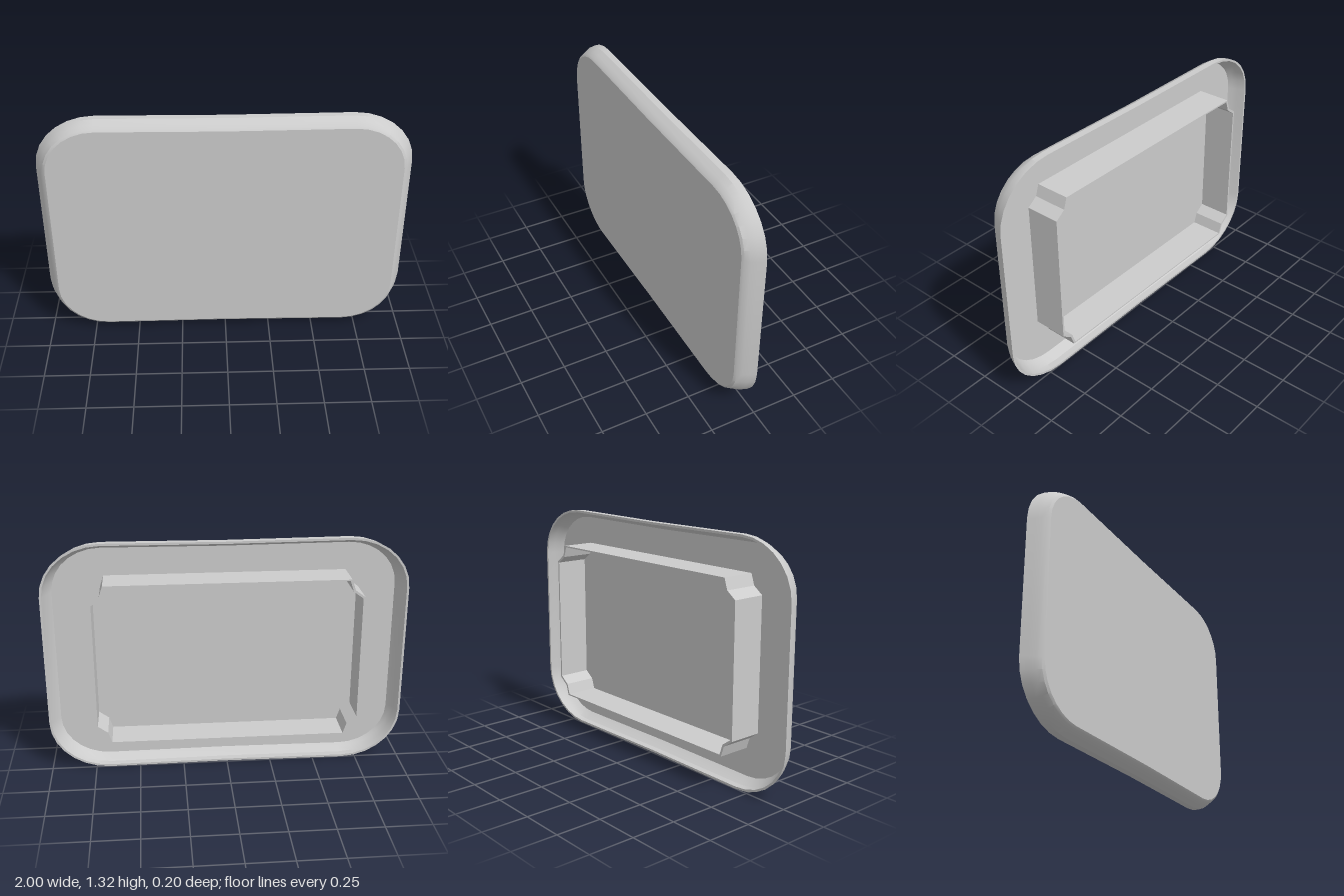
import * as THREE from 'three';
import { toCreasedNormals } from 'three/addons/utils/BufferGeometryUtils.js';

const CENTRE_Y = 0.66;
const CORNER_STEPS = 7;

// Rounded rectangle, counter-clockwise seen from the front; long sides dip slightly mid-way.
function roundedRing({ w, h, rx, ry, z, dip = 0.005 }) {
  const points = [];
  const corners = [[1, 1], [-1, 1], [-1, -1], [1, -1]];
  corners.forEach(([sx, sy], q) => {
    for (let i = 0; i <= CORNER_STEPS; i++) {
      const a = (q + i / CORNER_STEPS) * Math.PI / 2;
      points.push([sx * (w - rx) + rx * Math.cos(a), sy * (h - ry) + ry * Math.sin(a), z]);
    }
    if (q % 2 === 0) points.push([0, sy * (h - dip), z]);
  });
  return points;
}

// Skin through the rings, closed at both ends by a fan.
function skin(rings) {
  const n = rings[0].length;
  const first = rings[0], last = rings[rings.length - 1];
  const positions = rings.flat(2);
  const startCentre = rings.length * n, endCentre = startCentre + 1;
  positions.push(0, 0, first[0][2], 0, 0, last[0][2]);
  const index = [];
  for (let i = 0; i < n; i++) {
    const j = (i + 1) % n;
    index.push(startCentre, i, j);
    for (let r = 0; r < rings.length - 1; r++) {
      const a = r * n, b = a + n;
      index.push(a + i, b + i, b + j, a + i, b + j, a + j);
    }
    const e = (rings.length - 1) * n;
    index.push(endCentre, e + j, e + i);
  }
  const geometry = new THREE.BufferGeometry();
  geometry.setAttribute('position', new THREE.Float32BufferAttribute(positions, 3));
  geometry.setIndex(index);
  return toCreasedNormals(geometry, 0.5);
}

// Outline with stepped-in corners, shrunk by t.
function notchedOutline(t) {
  const corner = [[0.735, 0.36], [0.68, 0.4], [0.66, 0.46]].map(([x, y]) => [x - t, y - t * 0.8]);
  const points = [];
  [[1, 1], [-1, 1], [-1, -1], [1, -1]].forEach(([sx, sy]) => {
    const run = sx * sy > 0 ? corner : [...corner].reverse();
    run.forEach(([x, y]) => points.push(new THREE.Vector2(sx * x, sy * y)));
  });
  return points;
}

export function createModel() {
  const group = new THREE.Group();
  group.name = 'trayLid';
  const material = new THREE.MeshStandardMaterial({ color: 0xcccccc, side: THREE.DoubleSide });

  // Hollow shell: front face, sloping sides, thin rim, then the inside back to the floor
  const outer = [
    { w: 0.94, h: 0.615, rx: 0.27, ry: 0.24, z: 0.1 },
    { w: 0.953, h: 0.626, rx: 0.28, ry: 0.25, z: 0.092 },
    { w: 0.968, h: 0.642, rx: 0.3, ry: 0.27, z: 0.068 },
    { w: 0.984, h: 0.66, rx: 0.32, ry: 0.29, z: 0.038 },
    { w: 1, h: 0.66, rx: 0.33, ry: 0.29, z: 0 },
  ];
  const t = 0.012;
  const inner = outer.slice(1).reverse().map((p) => ({
    w: p.w - t, h: p.h - t, rx: p.rx - t, ry: p.ry - t, z: Math.min(p.z, 0.088),
  }));
  const shell = new THREE.Mesh(skin([...outer, ...inner].map(roundedRing)), material);
  shell.name = 'shell';

  // Thin-walled frame standing on the shell's inside floor
  const shape = new THREE.Shape(notchedOutline(0));
  shape.holes.push(new THREE.Path(notchedOutline(0.01)));
  const frame = new THREE.Mesh(
    new THREE.ExtrudeGeometry(shape, { depth: 0.19, bevelEnabled: false }), material);
  frame.name = 'innerFrame';
  frame.position.z = -0.1;

  group.add(shell, frame);
  group.children.forEach((part) => { part.position.y = CENTRE_Y; });
  return group;
}
